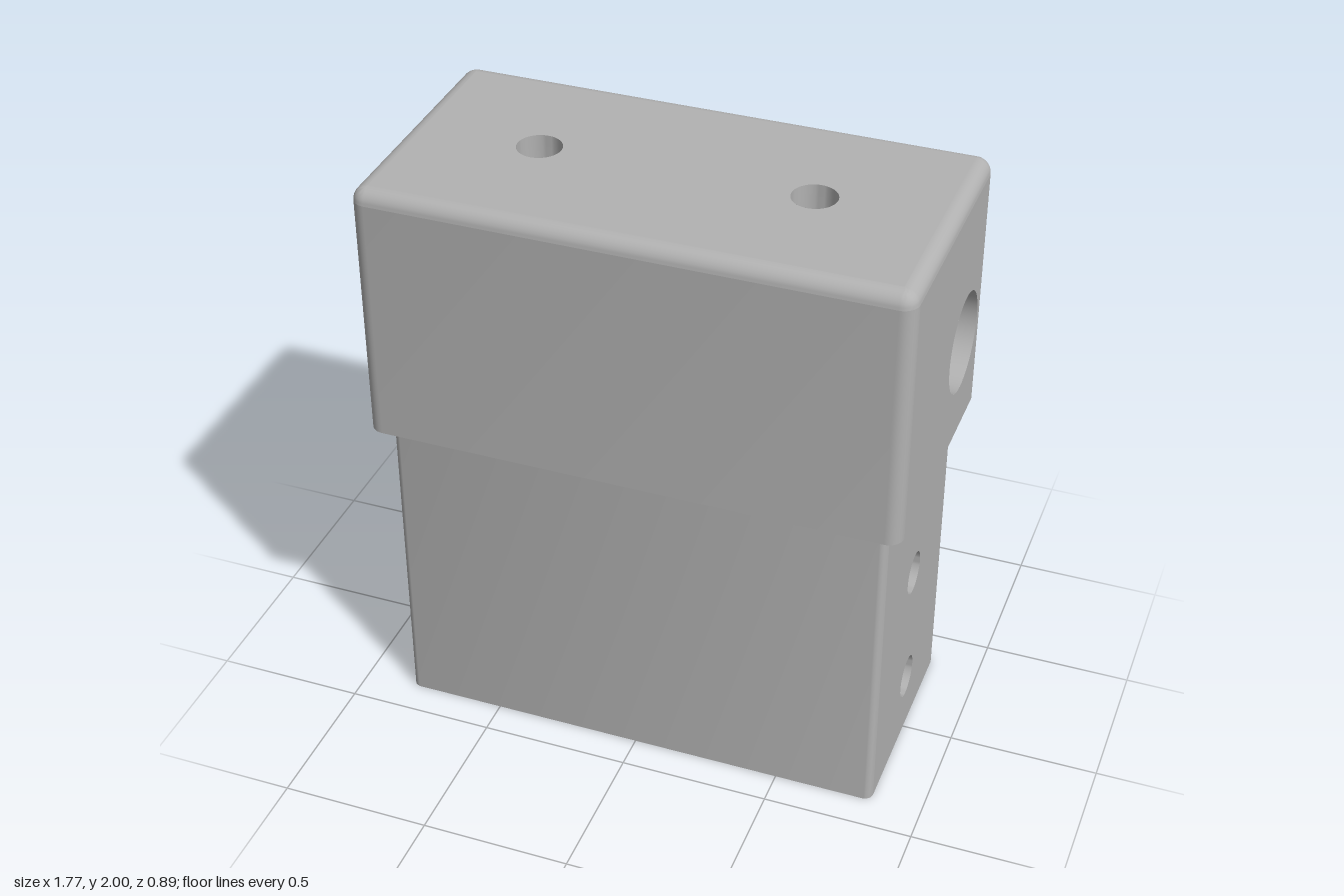
import * as THREE from 'three';
import { toCreasedNormals } from 'three/addons/utils/BufferGeometryUtils.js';

const CAP = { w: 0.885, d: 0.445, r: 0.05, y0: 1.115, y1: 2 };
const BASE = { w: 0.83, d: 0.385, r: 0.03 };
const SLOT = 0.335;                       // half width of the wheel slot
const AXLE = { y: 1.45, z: -0.21, R: 0.455 };
const BACK = -0.345, FRONT = 0.355, INNER = AXLE.z + AXLE.R;
const PIN_R = 0.073, PIN_Y = [0.225, 0.67], SCREW_X = 0.445;

// Quarter arc q of a rounded rectangle, as [x, z] points
function corner(q, w, d, r) {
  const sx = q === 0 || q === 3 ? 1 : -1, sz = q < 2 ? 1 : -1;
  return Array.from({ length: 9 }, (_, k) => {
    const a = (q + k / 8) * Math.PI / 2;
    return [sx * (w - r) + r * Math.cos(a), sz * (d - r) + r * Math.sin(a)];
  });
}
const ring = (w, d, r) => [0, 1, 2, 3].flatMap(q => corner(q, w, d, r));

// Skin joining consecutive rows of points
function loft(rows) {
  const n = rows[0].length, index = [];
  for (let j = 0; j < rows.length - 1; j++) {
    for (let i = 0; i < n - 1; i++) {
      const a = j * n + i, b = a + 1, c = a + n, d = c + 1;
      index.push(a, c, b, b, c, d);
    }
  }
  const geo = new THREE.BufferGeometry().setFromPoints(rows.flat());
  geo.setIndex(index);
  return toCreasedNormals(geo, 0.6);
}
const level = (path, y) => path.map(([x, z]) => new THREE.Vector3(x, y, z));
const wall = (path, y0, y1) => loft([level(path, y0), level(path, y1)]);

// Flat face with holes; holes are point lists or [u, v, radius] circles
function face(points, circles = [], cutouts = []) {
  const shape = new THREE.Shape(points.map(p => new THREE.Vector2(...p)));
  for (const [u, v, r] of circles) shape.holes.push(new THREE.Path().absarc(u, v, r, 0, Math.PI * 2, true));
  for (const c of cutouts) shape.holes.push(new THREE.Path(c.map(p => new THREE.Vector2(...p))));
  return new THREE.ShapeGeometry(shape, 40);
}
const rect = (u0, v0, u1, v1) => [[u0, v0], [u1, v0], [u1, v1], [u0, v1]];

function flip(geo) {
  geo.setIndex(Array.from(geo.index.array).reverse());
  const n = geo.attributes.normal;
  for (let i = 0; i < n.count; i++) n.setXYZ(i, -n.getX(i), -n.getY(i), -n.getZ(i));
  return geo;
}
// Faces drawn in (-z, y) or (x, -z), moved to their plane
const sideFace = (geo, x, dir) => (dir < 0 ? flip(geo) : geo).rotateY(Math.PI / 2).translate(x, 0, 0);
const levelFace = (geo, y, dir) => (dir < 0 ? flip(geo) : geo).rotateX(-Math.PI / 2).translate(0, y, 0);

// Turned bore from [radius, position] points
const bore = points => toCreasedNormals(
  new THREE.LatheGeometry(points.map(p => new THREE.Vector2(...p)), 48), 0.6);

export function createModel() {
  const model = new THREE.Group();
  const grey = new THREE.MeshStandardMaterial({ color: 0xb2b2b2, side: THREE.DoubleSide });
  grey.name = 'grey plastic';
  const groups = {};
  for (const name of ['cap', 'base', 'slot', 'bores']) {
    groups[name] = new THREE.Group();
    groups[name].name = name;
    model.add(groups[name]);
  }
  const add = (group, name, geo) => {
    const mesh = new THREE.Mesh(geo, grey);
    mesh.name = name;
    groups[group].add(mesh);
    return mesh;
  };

  // Cap: outer walls, with the back open at the slot
  const { w, d, r, y0, y1 } = CAP, edge = y1 - r;
  const cq = q => corner(q, w, d, r);
  add('cap', 'capFront', wall([...cq(0), ...cq(1)], y0, edge));
  add('cap', 'capBackRight', wall([...cq(2), [-SLOT, -d]], y0, edge));
  add('cap', 'capBackLeft', wall([[SLOT, -d], ...cq(3)], y0, edge));
  add('cap', 'capLintel', wall([[-SLOT, -d], [SLOT, -d]], AXLE.y + AXLE.R, edge));
  for (const s of [1, -1]) {
    add('cap', s > 0 ? 'capLeftSide' : 'capRightSide', sideFace(
      face(rect(-d + r, y0, d - r, edge), [[-AXLE.z, AXLE.y, s > 0 ? 0.167 : 0.12]]), s * w, s));
  }

  // Cap: rounded top edge, top face and underside ledge
  const rim = [];
  for (let k = 0; k <= 8; k++) {
    const a = k / 8 * Math.PI / 2, inset = r * (1 - Math.cos(a));
    const path = ring(w - inset, d - inset, Math.max(r - inset, 0.0005));
    rim.push(level([...path, path[0]], edge + r * Math.sin(a)));
  }
  add('cap', 'capRoundedEdge', loft(rim));
  add('cap', 'capTop', levelFace(face(rect(-w + r, -d + r, w - r, d - r),
    [[-SCREW_X, 0, PIN_R], [SCREW_X, 0, PIN_R]]), y1, 1));
  const ledge = [...cq(0), ...cq(1), ...cq(2), [-SLOT, -d], [-SLOT, INNER], [SLOT, INNER], [SLOT, -d], ...cq(3)];
  add('cap', 'capUnderside', levelFace(face(ledge.map(([x, z]) => [x, -z])), y0, -1));

  // Base: sleeve walls with pin holes and an open bottom
  const bq = q => corner(q, BASE.w, BASE.d, BASE.r);
  add('base', 'baseFront', wall([...bq(0), ...bq(1)], 0, y0));
  add('base', 'baseBack', wall([...bq(2), ...bq(3)], 0, y0));
  const pins = PIN_Y.map(y => [0, y, PIN_R]);
  const bz = BASE.d - BASE.r;
  for (const s of [1, -1]) {
    add('base', s > 0 ? 'baseLeftSide' : 'baseRightSide',
      sideFace(face(rect(-bz, 0, bz, y0), pins), s * BASE.w, s));
  }
  add('base', 'baseBottom', levelFace(face(ring(BASE.w, BASE.d, BASE.r).map(([x, z]) => [x, -z]), [],
    [rect(-SLOT, -FRONT, SLOT, -BACK)]), 0, -1));
  add('base', 'baseBackRim', levelFace(face(rect(-SLOT, -BACK, SLOT, BASE.d)), y0, 1));

  // Slot: ceiling, curved inner wall and flared foot as one skin, in [z, y]
  const profile = [[-d, AXLE.y + AXLE.R]];
  for (let k = 0; k <= 20; k++) {
    const a = (1 - k / 20) * Math.PI / 2;
    profile.push([AXLE.z + AXLE.R * Math.cos(a), AXLE.y + AXLE.R * Math.sin(a)]);
  }
  profile.push([INNER, 0.45], [FRONT, 0]);
  add('slot', 'slotCurvedWall', loft([-SLOT, SLOT].map(x => profile.map(([z, y]) => new THREE.Vector3(x, y, z)))));
  add('slot', 'slotBackWall', face(rect(-SLOT, 0, SLOT, y0)).translate(0, 0, BACK));
  const outline = [...profile, [BACK, 0], [BACK, y0], [-d, y0]].map(([z, y]) => [-z, y]);
  for (const s of [1, -1]) {
    add('slot', s > 0 ? 'slotLeftWall' : 'slotRightWall', sideFace(
      face(outline, [[-AXLE.z, AXLE.y, 0.115], ...pins]), s * SLOT, -s));
  }

  // Axle bores, each with a raised ring inside the slot
  const boss = SLOT - 0.03;
  const bores = {
    leftAxleBore: [[0.167, w], [0.167, 0.6], [0.115, 0.6], [0.115, boss], [0.21, boss], [0.21, SLOT]],
    rightAxleBore: [[0.21, -SLOT], [0.21, -boss], [0.115, -boss], [0.115, -0.43], [0.09, -0.43],
      [0.09, -0.52], [0.12, -0.52], [0.12, -w]],
  };
  for (const [name, points] of Object.entries(bores)) {
    add('bores', name, bore(points).rotateZ(-Math.PI / 2)).position.set(0, AXLE.y, AXLE.z);
  }

  // Pin holes through the base and blind screw holes in the top
  for (const s of [1, -1]) {
    const [a, b] = s > 0 ? [BASE.w, SLOT] : [-SLOT, -BASE.w];
    for (const y of PIN_Y) {
      add('bores', 'pinHole', bore([[PIN_R, a], [PIN_R, b]]).rotateZ(-Math.PI / 2)).position.y = y;
    }
    add('bores', 'screwHole', bore([[PIN_R, y1], [PIN_R, 1.65], [0, 1.65]])).position.x = s * SCREW_X;
  }
  return model;
}
